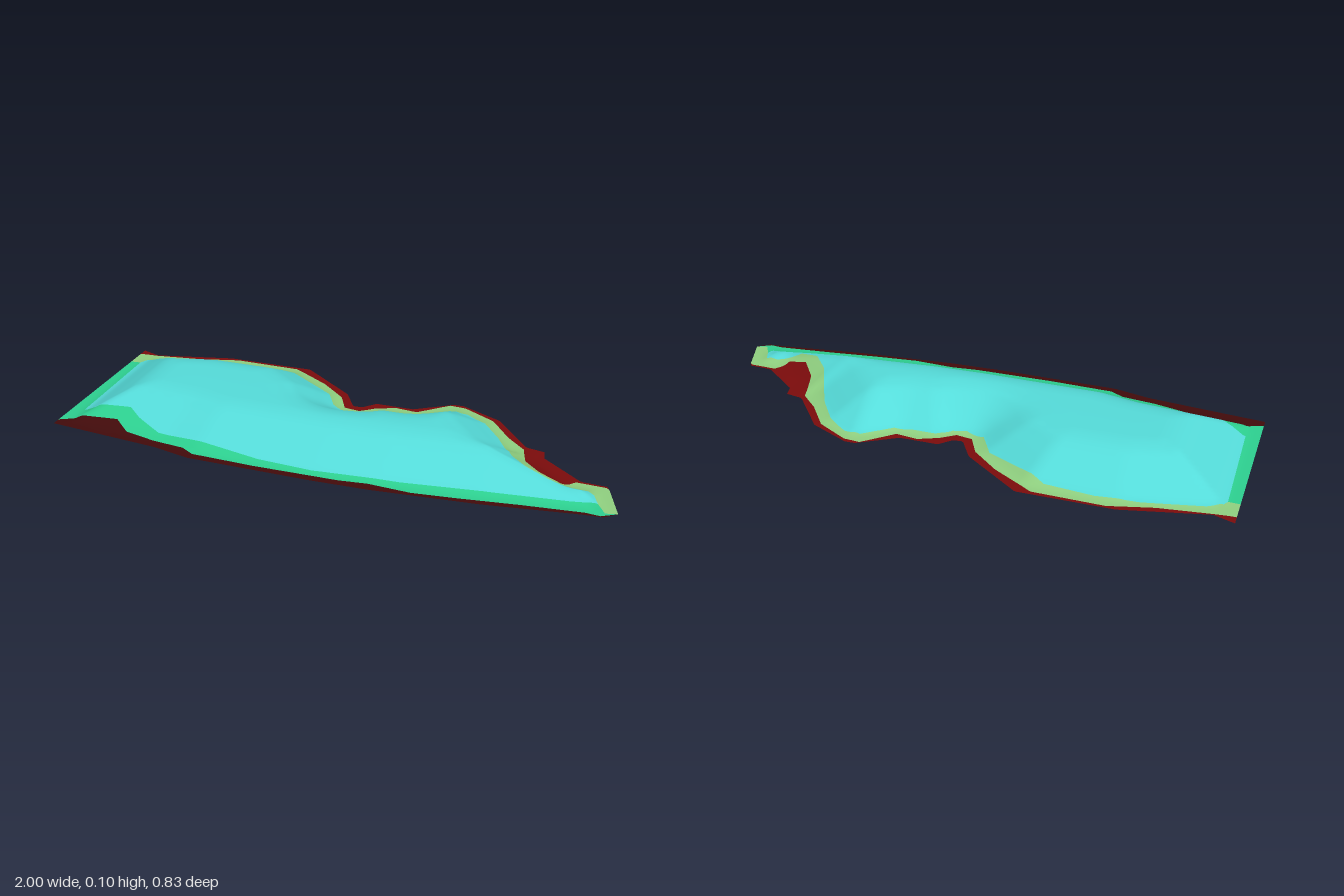
import * as THREE from 'three';

// Shoreline and colour band limits, as [x, z] polylines ordered by x
const backShore = [[-1, -.377], [-.928, -.35], [-.634, -.42], [-.302, -.42], [-.088, -.254], [-.035, -.163],
  [0, -.167], [.04, -.211], [.18, -.211], [.313, -.297], [.35, -.297], [.5, -.222], [.634, -.05],
  [.705, -.035], [.71, .01], [.853, .13], [.944, .136], [1, .3]];
const frontShore = [[-1, .323], [-.575, .37], [-.436, .404], [.02, .414], [.217, .41], [.58, .382],
  [.885, .34], [.96, .334], [1, .3]];
const backRim = [[-1, -.34], [-.93, -.345], [-.75, -.37], [-.6, -.41], [-.35, -.405], [-.2, -.31], [-.1, -.22],
  [-.06, -.14], [0, -.13], [.05, -.17], [.12, -.2], [.2, -.19], [.3, -.285], [.36, -.28], [.48, -.21],
  [.56, -.1], [.63, -.03], [.66, .09], [.72, .17], [.8, .19], [.84, .14], [.95, .145], [1, .3]];
const backSlope = [[-1, -.26], [-.955, -.26], [-.95, -.28], [-.9, -.31], [-.7, -.355], [-.55, -.365], [-.38, -.355],
  [-.25, -.28], [-.15, -.22], [-.1, -.13], [-.03, -.1], [.02, -.11], [.07, -.15], [.16, -.15], [.22, -.16],
  [.32, -.235], [.38, -.23], [.46, -.17], [.53, -.07], [.58, .03], [.62, .12], [.68, .19], [.76, .22],
  [.86, .2], [.91, .21], [.93, .26], [.96, .31], [1, .3]];
const frontSlope = [[-1, -.26], [-.955, -.26], [-.95, .19], [-.9, .205], [-.75, .205], [-.7, .24], [-.6, .29],
  [-.45, .31], [-.2, .345], [0, .355], [.3, .34], [.6, .31], [.85, .28], [.91, .27], [.93, .26], [.96, .31], [1, .3]];
const frontRim = [[-1, .29], [-.92, .255], [-.78, .255], [-.72, .3], [-.6, .33], [-.48, .345], [-.43, .375],
  [-.2, .385], [.1, .385], [.2, .375], [.35, .385], [.5, .37], [.7, .345], [.9, .325], [.95, .33], [1, .3]];
// Height against distance from the shore
const rise = [[0, 0], [.055, .002], [.1, .025], [.14, .048], [.22, .089], [.28, .1], [.5, .102]];

function sample(line, t) {
  if (t <= line[0][0]) return line[0][1];
  for (let i = 1; i < line.length; i++) {
    const [a, va] = line[i - 1], [b, vb] = line[i];
    if (t <= b) return va + (vb - va) * (t - a) / (b - a);
  }
  return line[line.length - 1][1];
}

const shore = [...backShore, ...frontShore.slice(0, -1).reverse()];

function shoreDistance(x, z) {
  let best = Infinity;
  shore.forEach(([ax, az], i) => {
    const [bx, bz] = shore[(i + 1) % shore.length];
    const dx = bx - ax, dz = bz - az;
    const t = THREE.MathUtils.clamp(((x - ax) * dx + (z - az) * dz) / (dx * dx + dz * dz), 0, 1);
    best = Math.min(best, Math.hypot(x - ax - t * dx, z - az - t * dz));
  });
  return best;
}

const height = (x, z) => sample(rise, shoreDistance(x, z));

// Slope measured over a wide step, so the shading stays soft
function normalAt(x, z) {
  const e = .03;
  return new THREE.Vector3(height(x - e, z) - height(x + e, z), 2 * e, height(x, z - e) - height(x, z + e)).normalize();
}

// Ground between two limits, lofted column by column
function band(name, limits, k, rows, material) {
  const columns = 200, position = [], normal = [], index = [];
  for (let i = 0; i <= columns; i++) {
    const x = -1 + 2 * i / columns;
    const z0 = limits(x)[k], z1 = limits(x)[k + 1];
    for (let j = 0; j <= rows; j++) {
      const z = z0 + (z1 - z0) * j / rows;
      position.push(x, height(x, z), z);
      normal.push(...normalAt(x, z).toArray());
      if (i < columns && j < rows) {
        const a = i * (rows + 1) + j, c = a + rows + 1;
        index.push(a, a + 1, c, c, a + 1, c + 1);
      }
    }
  }
  const geometry = new THREE.BufferGeometry();
  geometry.setAttribute('position', new THREE.Float32BufferAttribute(position, 3));
  geometry.setAttribute('normal', new THREE.Float32BufferAttribute(normal, 3));
  geometry.setIndex(index);
  const mesh = new THREE.Mesh(geometry, material);
  mesh.name = name;
  return mesh;
}

function paint(name, color) {
  const material = new THREE.MeshStandardMaterial({ color, side: THREE.DoubleSide });
  material.name = name;
  return material;
}

export function createModel() {
  const group = new THREE.Group();
  group.name = 'island';

  // Limits of all bands at x, kept in order from back to front
  const limits = x => {
    const lines = [backShore, backRim, backSlope, frontSlope, frontRim, frontShore].map(l => sample(l, x));
    const first = lines[0], last = lines[5];
    let previous = first;
    return lines.map(z => (previous = Math.min(last, Math.max(previous, z))));
  };

  group.add(
    band('backShore', limits, 0, 3, paint('red', 0x7c0c0c)),
    band('backSlope', limits, 1, 4, paint('yellow green', 0x90d080)),
    band('plateau', limits, 2, 30, paint('turquoise', 0x55dcda)),
    band('frontSlope', limits, 3, 6, paint('green', 0x2dd090)),
    band('frontShore', limits, 4, 3, paint('dark red', 0x420b0b)),
  );
  return group;
}
